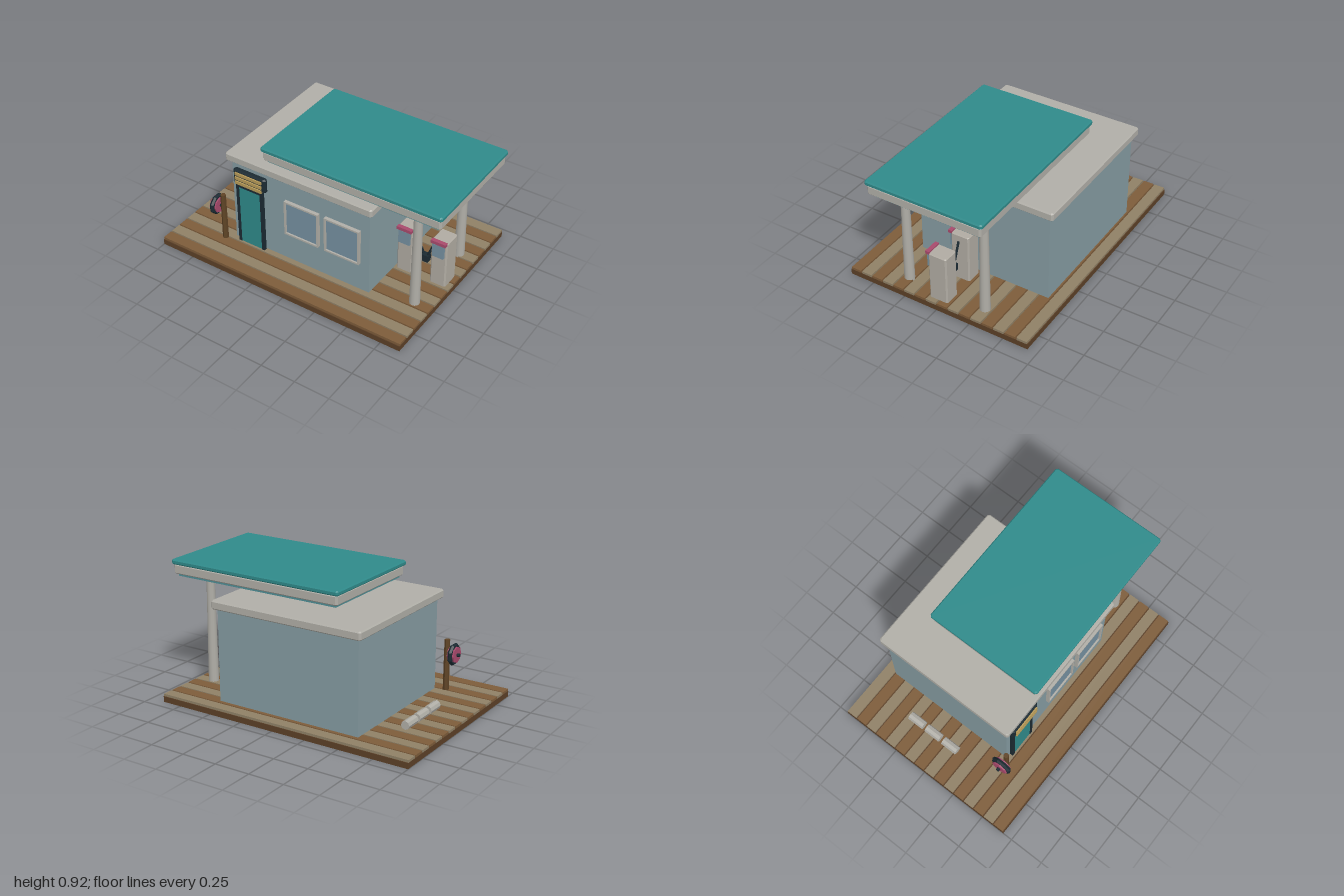
import * as THREE from 'three';

const COLORS = {
  teal: 0x2f8a8a, soffit: 0x4f8f96, grey: 0xb0aea7, pump: 0xb0aba2, wall: 0x859ba1,
  baseWood: 0x5c4027, brown: 0x7d5c3a, tan: 0x8f8066, dark: 0x1b2a32,
  pink: 0xa84a6c, yellow: 0xb89b58, glass: 0x7590a0, post: 0x5f4426,
};
const materials = {};
for (const key in COLORS) materials[key] = new THREE.MeshStandardMaterial({ color: COLORS[key] });
const flat = {};
for (const key in COLORS) flat[key] = new THREE.MeshStandardMaterial({ color: COLORS[key], flatShading: true });

// Box given by its limits on each axis
function box(name, color, [x0, x1], [y0, y1], [z0, z1]) {
  const mesh = new THREE.Mesh(new THREE.BoxGeometry(x1 - x0, y1 - y0, z1 - z0), materials[color]);
  mesh.position.set((x0 + x1) / 2, (y0 + y1) / 2, (z0 + z1) / 2);
  mesh.name = name;
  return mesh;
}

// Box with chamfered edges, given by its limits
function chamferBox(name, color, [x0, x1], [y0, y1], [z0, z1], b) {
  const w = (x1 - x0) / 2, d = (z1 - z0) / 2;
  const s = new THREE.Shape();
  s.moveTo(-w + 2 * b, -d + b);
  s.lineTo(w - 2 * b, -d + b);
  s.lineTo(w - b, -d + 2 * b);
  s.lineTo(w - b, d - 2 * b);
  s.lineTo(w - 2 * b, d - b);
  s.lineTo(-w + 2 * b, d - b);
  s.lineTo(-w + b, d - 2 * b);
  s.lineTo(-w + b, -d + 2 * b);
  s.closePath();
  const geo = new THREE.ExtrudeGeometry(s, {
    depth: y1 - y0 - 2 * b, bevelEnabled: true, bevelSize: b, bevelThickness: b, bevelSegments: 1,
  });
  geo.rotateX(-Math.PI / 2);
  const mesh = new THREE.Mesh(geo, flat[color]);
  mesh.position.set((x0 + x1) / 2, y0 + b, (z0 + z1) / 2);
  mesh.name = name;
  return mesh;
}

// Cylinder running between two points
function rod(name, color, a, b, r0, r1, sides, smooth = false) {
  const p = new THREE.Vector3(...a), q = new THREE.Vector3(...b);
  const dir = q.clone().sub(p);
  const mesh = new THREE.Mesh(
    new THREE.CylinderGeometry(r1, r0, dir.length(), sides), (smooth ? materials : flat)[color]);
  mesh.position.copy(p).add(q).multiplyScalar(0.5);
  mesh.quaternion.setFromUnitVectors(new THREE.Vector3(0, 1, 0), dir.normalize());
  mesh.name = name;
  return mesh;
}

function group(name, ...parts) {
  const g = new THREE.Group();
  g.name = name;
  if (parts.length) g.add(...parts);
  return g;
}

function makeDeck() {
  const g = group('deck', box('deckBase', 'baseWood', [-1, 0.89], [0, 0.04], [-0.68, 0.68]));
  const count = 16, pitch = 1.36 / count;
  for (let i = 0; i < count; i++) {
    const z = -0.68 + i * pitch;
    g.add(box('plank', i % 2 ? 'brown' : 'tan', [-1, 0.89], [0.04, 0.057], [z + 0.005, z + pitch - 0.005]));
  }
  return g;
}

function makeWindow(x) {
  const g = group('window', box('windowPane', 'glass', [x - 0.125, x + 0.125], [0.29, 0.545], [0.385, 0.403]));
  const t = 0.012;
  for (const s of [-1, 1]) {
    const cx = x + s * 0.127, cy = 0.418 + s * 0.127;
    g.add(box('windowSide', 'grey', [cx - t / 2, cx + t / 2], [0.285, 0.551], [0.385, 0.415]));
    g.add(box('windowRail', 'grey', [x - 0.121, x + 0.121], [cy - t / 2, cy + t / 2], [0.385, 0.415]));
  }
  return g;
}

function makePump(x) {
  return group('fuelPump',
    chamferBox('pumpBody', 'pump', [x - 0.058, x + 0.058], [0.057, 0.415], [-0.068, 0.068], 0.006),
    box('pumpScreen', 'glass', [x - 0.042, x + 0.042], [0.3, 0.4], [0.06, 0.086]),
    box('pumpTrim', 'pink', [x - 0.055, x + 0.055], [0.403, 0.425], [0.06, 0.089]));
}

// Hose running from a pump's side down to its nozzle
function makeHose(x0, x1) {
  return group('hose',
    rod('hoseLine', 'dark', [x0, 0.365, 0.01], [x1, 0.21, 0.01], 0.009, 0.009, 6),
    box('nozzle', 'dark', [x1 - 0.014, x1 + 0.014], [0.17, 0.222], [-0.01, 0.03]));
}

// Post with a hose reel on a horizontal axle
function makeReel() {
  const z = 0.435, y = 0.32, x = -0.703;
  const ring = new THREE.Mesh(new THREE.TorusGeometry(0.061, 0.017, 6, 8), flat.dark);
  ring.rotation.y = Math.PI / 2;
  ring.rotation.z = Math.PI / 8;
  ring.position.set(x, y, z);
  ring.name = 'reelRing';
  return group('hoseReel',
    rod('reelPost', 'post', [-0.651, 0.045, z], [-0.651, 0.416, z], 0.021, 0.019, 6), ring,
    rod('reelDrum', 'pink', [x - 0.025, y, z], [x + 0.025, y, z], 0.057, 0.057, 8),
    rod('reelAxle', 'dark', [-0.748, y, z], [-0.65, y, z], 0.012, 0.012, 6));
}

export function createModel() {
  const model = group('fuelStation', makeDeck());

  // Building with overhanging roof slab
  model.add(group('building',
    box('walls', 'wall', [-0.59, 0.48], [0.068, 0.715], [-0.585, 0.39]),
    chamferBox('roofSlab', 'grey', [-0.622, 0.51], [0.708, 0.767], [-0.62, 0.425], 0.008),
    makeWindow(-0.032), makeWindow(0.281)));

  // Door and its frame
  model.add(group('door',
    box('doorFrameLeft', 'dark', [-0.361, -0.339], [0.06, 0.537], [0.385, 0.412]),
    box('doorFrameRight', 'dark', [-0.553, -0.531], [0.06, 0.537], [0.385, 0.412]),
    box('doorFrameTop', 'dark', [-0.531, -0.361], [0.515, 0.537], [0.385, 0.412]),
    box('doorPanel', 'teal', [-0.531, -0.361], [0.06, 0.515], [0.385, 0.408])));

  // Panel with three slats above the door
  const sign = group('slattedSign', chamferBox('signBoard', 'dark', [-0.565, -0.303], [0.555, 0.662], [0.385, 0.428], 0.01));
  for (const y of [0.567, 0.601, 0.636]) {
    sign.add(box('signSlat', 'yellow', [-0.54, -0.328], [y - 0.011, y + 0.011], [0.42, 0.437]));
  }
  model.add(sign);

  // Canopy in three layers, on two tapered columns
  const canopy = group('canopy',
    chamferBox('canopyTop', 'teal', [-0.333, 0.995], [0.884, 0.918], [-0.425, 0.425], 0.008),
    chamferBox('canopyFascia', 'grey', [-0.32, 0.985], [0.817, 0.884], [-0.413, 0.413], 0.008),
    box('canopySoffit', 'soffit', [-0.298, 0.96], [0.8, 0.818], [-0.39, 0.39]));
  for (const z of [-0.293, 0.293]) {
    canopy.add(rod('column', 'grey', [0.767, 0.045, z], [0.767, 0.803, z], 0.036, 0.028, 12, true));
  }
  model.add(canopy);

  // Pumps and hoses
  model.add(makePump(0.55), makePump(0.802), makeHose(0.605, 0.663), makeHose(0.748, 0.69));

  model.add(makeReel());

  // Row of logs beside the building
  const logs = group('logs');
  for (const z of [-0.247, -0.103, 0.042]) {
    logs.add(rod('log', 'grey', [-0.762, 0.088, z - 0.06], [-0.762, 0.088, z + 0.06], 0.03, 0.03, 8));
  }
  model.add(logs);
  return model;
}
